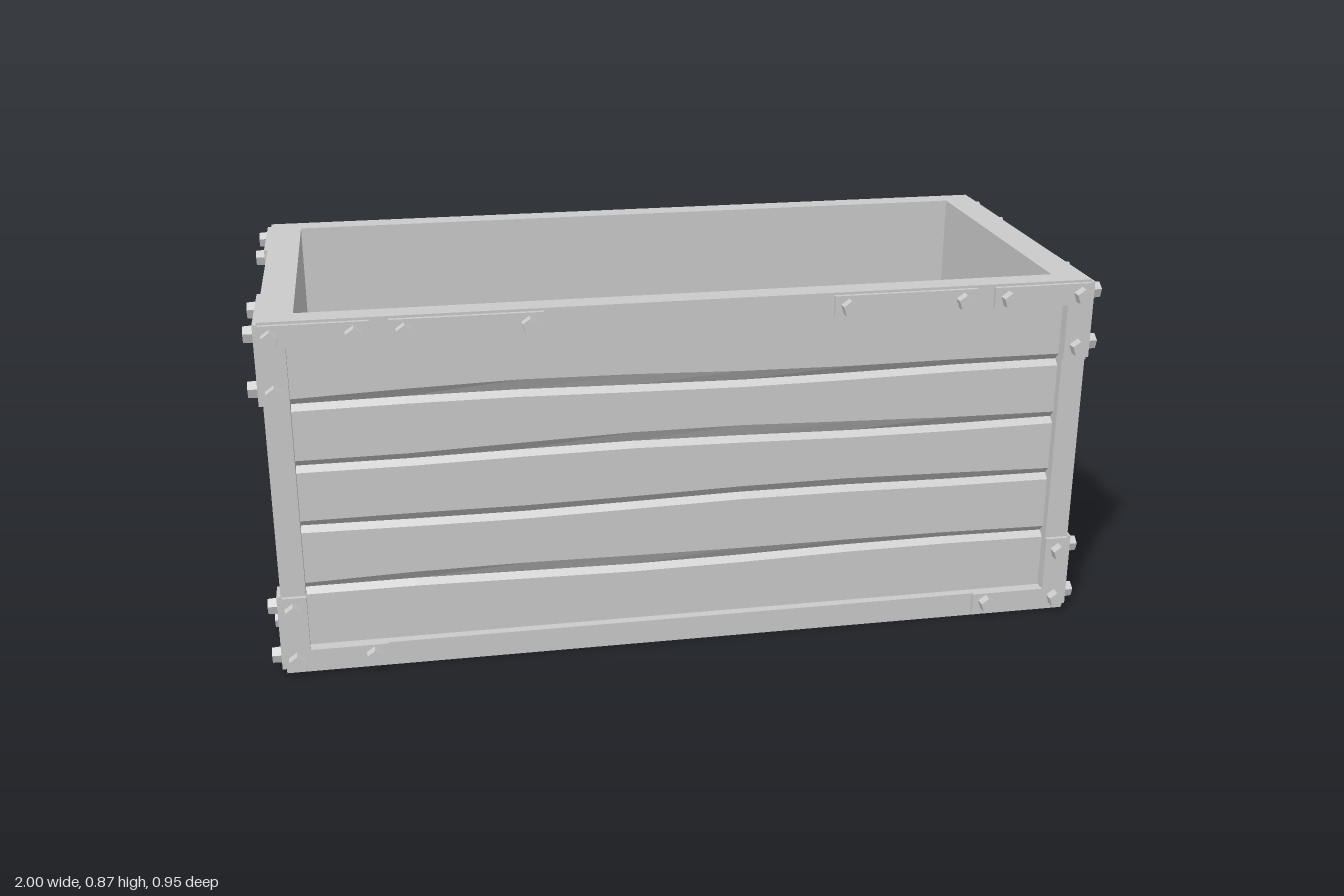
import * as THREE from 'three';

const HX = 0.968, HZ = 0.435, H = 0.87;      // half width, half depth, height of the frame
const RAIL = 0.06, TOP = 0.81;               // frame rail height, underside of the top rail
const INX = 0.89, INZ = 0.377;               // half size of the cavity
const RECESS = 0.022;                        // planks sit this far behind the frame
const mat = new THREE.MeshStandardMaterial({ color: 0xcccccc, flatShading: true });

function add(parent, name, geo, x = 0, y = 0, z = 0) {
  const m = new THREE.Mesh(geo, mat);
  m.name = name;
  m.position.set(x, y, z);
  parent.add(m);
  return m;
}

// Box given by its limits on each axis
function block(parent, name, x0, x1, y0, y1, z0, z1) {
  return add(parent, name, new THREE.BoxGeometry(x1 - x0, y1 - y0, z1 - z0),
    (x0 + x1) / 2, (y0 + y1) / 2, (z0 + z1) / 2);
}

// Five-sided bolt head pointing outward
const boltGeo = new THREE.CylinderGeometry(0.019, 0.021, 0.03, 5).rotateX(Math.PI / 2).rotateZ(Math.PI);
function bolt(parent, u, y, out) {
  add(parent, 'bolt', boltGeo, u, y, out);
}

// Wall of five planks with wavy V grooves between them
function planks(parent, u0, u1, out, cols, phase) {
  const rows = [[RAIL - 0.01, 0, 0, 0]];     // base height, wave, extra bevel, depth
  [0.205, 0.363, 0.513, 0.663].forEach((y, i) => {
    rows.push([y - 0.013, 1, 0, 0, i], [y, 1, 0, -0.016, i], [y + 0.017, 1, 1, 0, i]);
  });
  rows.push([TOP + 0.01, 0, 0, 0]);
  const geo = new THREE.PlaneGeometry(u1 - u0, 1, cols, rows.length - 1);
  const p = geo.attributes.position;
  for (let r = 0; r < rows.length; r++) {
    const [y, wave, bevel, depth, i = 0] = rows[rows.length - 1 - r];
    for (let c = 0; c <= cols; c++) {
      const k = r * (cols + 1) + c, t = c / cols;
      const hump = Math.sin(Math.PI * t);
      const dy = 0.007 * hump * Math.cos(t * cols * 0.9 + phase + i * 1.7);
      const fade = 0.016 * hump * (0.6 + 0.4 * Math.sin(t * 5 + i * 2 + phase));
      p.setXYZ(k, p.getX(k) + (u0 + u1) / 2, y + wave * dy + bevel * fade, out + depth);
    }
  }
  geo.computeVertexNormals();
  add(parent, 'planks', geo);
}

// L-shaped corner plate with its three bolts; su and sv choose the corner
function cornerPlate(parent, half, out, su, top) {
  const edge = half - 0.002;
  const pts = [[0, 0], [0.24, 0], [0.24, 0.052], [0.057, 0.052], [0.057, 0.19], [0, 0.19]];
  const lift = (v) => (top ? H - 0.006 - v : 0.01 + v);
  const shape = new THREE.Shape(pts.map(([a, b]) => new THREE.Vector2(su * (edge - a), lift(b))));
  add(parent, 'cornerPlate', new THREE.ExtrudeGeometry(shape, { depth: 0.011, bevelEnabled: false }), 0, 0, out - 0.001);
  for (const [a, b] of [[0.027, 0.028], [0.027, 0.157], [0.208, 0.028]])
    bolt(parent, su * (half - a), lift(b), out + 0.017);
}

// Straight plate on a rail with a bolt near each end
function railPlate(parent, u, width, y0, y1, out) {
  block(parent, 'railPlate', u - width / 2, u + width / 2, y0, y1, out - 0.001, out + 0.01);
  for (const s of [-1, 1]) bolt(parent, u + s * (width / 2 - 0.033), (y0 + y1) / 2, out + 0.015);
}

// Carrying handle: backing plate, sagging strap and two bolts
function handle(parent, out) {
  const g = new THREE.Group();
  g.name = 'handle';
  parent.add(g);
  const wall = out - RECESS;
  block(g, 'handlePlate', -0.17, 0.17, 0.55, 0.63, wall - 0.005, wall + 0.01);
  const path = [[-0.17, 0.01], [-0.125, 0.01], [-0.092, 0.044], [0, 0.044], [0.092, 0.044], [0.125, 0.01], [0.17, 0.01]];
  const outline = [...path.map(([u, o]) => [u, o + wall]),
    ...path.slice().reverse().map(([u, o]) => [u * 1.0, o + wall + 0.01])];
  const shape = new THREE.Shape(outline.map(([u, o]) => new THREE.Vector2(u, o)));
  const geo = new THREE.ExtrudeGeometry(shape, { depth: 0.05, bevelEnabled: false }).rotateX(Math.PI / 2);
  const p = geo.attributes.position;
  for (let i = 0; i < p.count; i++) {
    const sag = Math.max(0, 1 - Math.abs(p.getX(i)) / 0.125);
    p.setY(i, p.getY(i) + 0.615 - 0.031 * sag);
  }
  geo.computeVertexNormals();
  add(g, 'handleStrap', geo);
  for (const s of [-1, 1]) bolt(g, s * 0.147, 0.59, wall + 0.025);
}

// Hasp: flat plate with a bent staple standing out from it
function hasp(parent, u, out) {
  const g = new THREE.Group();
  g.name = 'hasp';
  parent.add(g);
  const wall = out - RECESS;
  block(g, 'haspPlate', u - 0.055, u + 0.055, 0.495, 0.675, wall - 0.01, wall + 0.013);
  const pts = [[0, 0.045], [0.04, 0.045], [0.06, 0.026], [0.06, -0.026], [0.04, -0.045], [0, -0.045],
    [0, -0.033], [0.035, -0.033], [0.048, -0.021], [0.048, 0.021], [0.035, 0.033], [0, 0.033]];
  const shape = new THREE.Shape(pts.map(([a, b]) => new THREE.Vector2(a, b)));
  const geo = new THREE.ExtrudeGeometry(shape, { depth: 0.02, bevelEnabled: false });
  geo.translate(0, 0, -0.01).rotateY(-Math.PI / 2);
  add(g, 'staple', geo, u, 0.586, wall + 0.01);
}

// One side of the chest in local coordinates: x along the wall, z outward
function side(root, name, half, out, angle) {
  const g = new THREE.Group();
  g.name = name;
  g.rotation.y = angle;
  root.add(g);
  for (const su of [-1, 1]) for (const top of [false, true]) cornerPlate(g, half, out, su, top);
  return g;
}

export function createModel() {
  const root = new THREE.Group();
  root.name = 'openChest';
  const body = new THREE.Group();
  body.name = 'body';
  body.position.z = 0.008;
  root.add(body);

  // Frame: floor slab, corner posts and the open top rim
  block(body, 'floor', -HX, HX, 0, RAIL, -HZ, HZ);
  for (const sx of [-1, 1]) for (const sz of [-1, 1])
    add(body, 'cornerPost', new THREE.BoxGeometry(HX - 0.91, TOP - RAIL, HZ - INZ),
      sx * (HX + 0.91) / 2, (RAIL + TOP) / 2, sz * (HZ + INZ) / 2);
  const rect = (C, x, z) => new C([[-x, -z], [x, -z], [x, z], [-x, z]].map(([a, b]) => new THREE.Vector2(a, b)));
  const rim = rect(THREE.Shape, HX, HZ);
  rim.holes.push(rect(THREE.Path, INX, INZ));
  add(body, 'topRim', new THREE.ExtrudeGeometry(rim, { depth: H - TOP, bevelEnabled: false }).rotateX(-Math.PI / 2), 0, TOP, 0);

  // Inner lining of the cavity
  for (const s of [-1, 1]) {
    add(body, 'lining', new THREE.BoxGeometry(0.012, TOP - RAIL, 2 * INZ), s * (INX + 0.006), (RAIL + TOP) / 2, 0);
    add(body, 'lining', new THREE.BoxGeometry(2 * INX + 0.024, TOP - RAIL, 0.012), 0, (RAIL + TOP) / 2, s * (INZ + 0.006));
  }

  // Front: one wide plank wall and two plates on the top rail
  const front = side(body, 'front', HX, HZ, 0);
  planks(front, -0.915, 0.915, HZ - RECESS, 7, 0.4);
  for (const s of [-1, 1]) railPlate(front, s * 0.51, 0.345, TOP, H - 0.006, HZ);

  // Back: two plank walls split by a post, joining plates and hasps
  const back = side(body, 'back', HX, HZ, Math.PI);
  block(back, 'middlePost', -0.045, 0.045, RAIL, TOP, INZ + 0.01, HZ);
  railPlate(back, 0, 0.28, TOP, H - 0.006, HZ);
  railPlate(back, 0, 0.28, 0.01, RAIL, HZ);
  for (const s of [-1, 1]) {
    planks(back, s > 0 ? 0.035 : -0.915, s > 0 ? 0.915 : -0.035, HZ - RECESS, 4, 1 + s);
    hasp(back, s * 0.455, HZ);
  }

  // Ends: plank wall and carrying handle
  for (const s of [-1, 1]) {
    const end = side(body, s > 0 ? 'leftEnd' : 'rightEnd', HZ, HX, s * Math.PI / 2);
    planks(end, -0.385, 0.385, HX - RECESS, 4, s > 0 ? 4.4 : 5.2);
    handle(end, HX);
  }
  return root;
}
